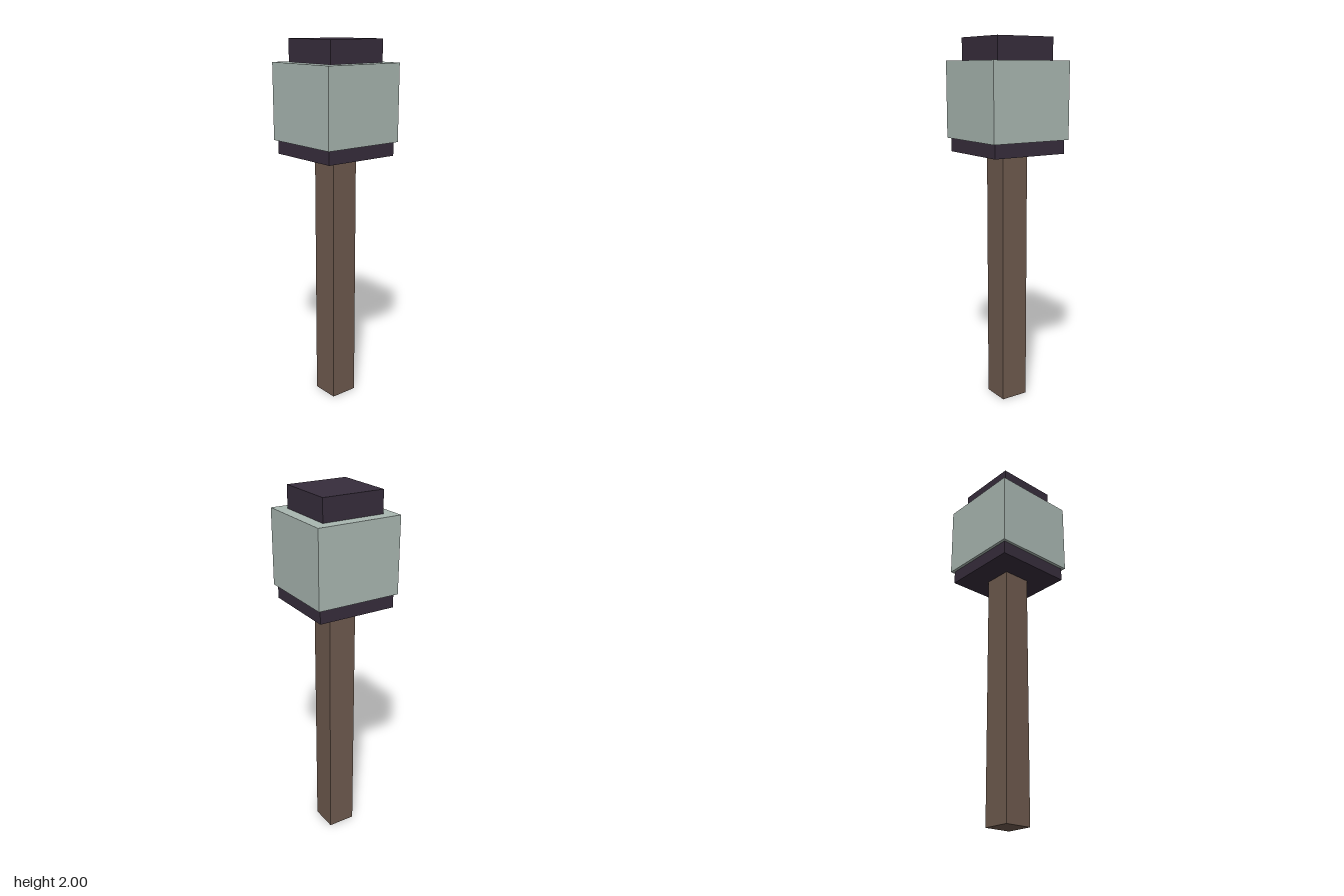
import * as THREE from 'three';

function flat(name, color) {
  const material = new THREE.MeshStandardMaterial({ color });
  material.name = name;
  return material;
}

export function createModel() {
  const wood = flat('brown wood', 0x6e5a4e);
  const metal = flat('dark metal', 0x372d3c);
  const glass = flat('pale glass', 0xa9b7b1);

  const lamp = new THREE.Group();
  lamp.name = 'lampPost';

  // Square block centred on the axis, spanning bottom to top
  function block(name, width, bottom, top, material) {
    const mesh = new THREE.Mesh(new THREE.BoxGeometry(width, top - bottom, width), material);
    mesh.name = name;
    mesh.position.y = (bottom + top) / 2;
    lamp.add(mesh);
  }

  block('post', 0.156, 0, 1.396, wood);
  block('lanternBase', 0.438, 1.396, 1.47, metal);
  block('lanternGlass', 0.47, 1.47, 1.88, glass);
  block('lanternCap', 0.345, 1.88, 2, metal);

  return lamp;
}
